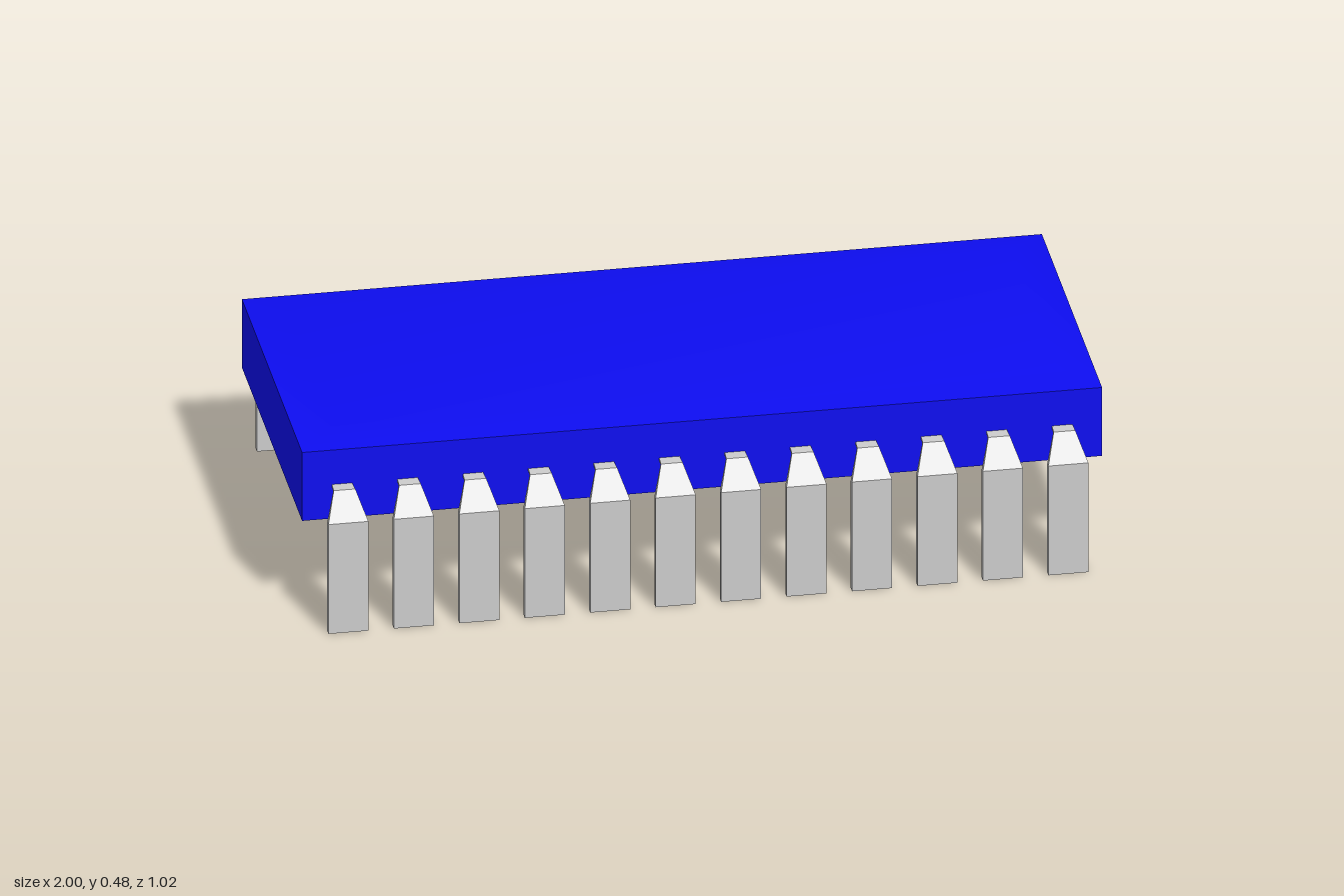
import * as THREE from 'three';
import { toCreasedNormals } from 'three/addons/utils/BufferGeometryUtils.js';

// Skin a stack of four-cornered rings, listed bottom to top, and cap both ends.
function loft(rings) {
  const index = [];
  for (let r = 0; r < rings.length - 1; r++) {
    for (let i = 0; i < 4; i++) {
      const j = (i + 1) % 4, a = r * 4, b = a + 4;
      index.push(a + i, a + j, b + j, a + i, b + j, b + i);
    }
  }
  const t = (rings.length - 1) * 4;
  index.push(0, 2, 1, 0, 3, 2, t, t + 1, t + 2, t, t + 2, t + 3);
  const geometry = new THREE.BufferGeometry();
  geometry.setAttribute('position', new THREE.Float32BufferAttribute(rings.flat(2), 3));
  geometry.setIndex(index);
  return toCreasedNormals(geometry, Math.PI / 8);
}

// Horizontal rectangle of half width x and half depth z
const rect = (x, y, z) => [[-x, y, z], [x, y, z], [x, y, -z], [-x, y, -z]];

// Section across a pin: half width, then outer and inner [y, z]
const section = (w, [yo, zo], [yi, zi]) =>
  [[-w, yo, zo], [w, yo, zo], [w, yi, zi], [-w, yi, zi]];

export function createModel() {
  const model = new THREE.Group();
  model.name = 'chip';
  const blue = new THREE.MeshStandardMaterial({ color: 0x0d0df0 });
  const grey = new THREE.MeshStandardMaterial({ color: 0xcccccc });

  // Body with a shallow sloped rim around the top
  const body = new THREE.Mesh(loft([
    rect(1, 0.272, 0.421), rect(1, 0.461, 0.421), rect(0.905, 0.478, 0.321),
  ]), blue);
  body.name = 'body';
  model.add(body);

  // Pin: wide leg, tapering shoulder, narrow tab into the body
  const pinGeometry = loft([
    section(0.05, [0, 0.51], [0, 0.491]),
    section(0.05, [0.302, 0.51], [0.297, 0.491]),
    section(0.027, [0.366, 0.455], [0.36, 0.447]),
    section(0.025, [0.366, 0.41], [0.36, 0.41]),
  ]);

  // A row of twelve pins along the front, and the same along the back
  for (const side of ['front', 'back']) {
    const row = new THREE.Group();
    row.name = side + 'Pins';
    for (let i = 0; i < 12; i++) {
      const pin = new THREE.Mesh(pinGeometry, grey);
      pin.name = 'pin' + (i + 1);
      pin.position.x = -0.9 + (1.8 * i) / 11;
      row.add(pin);
    }
    if (side === 'back') row.rotation.y = Math.PI;
    model.add(row);
  }
  return model;
}
